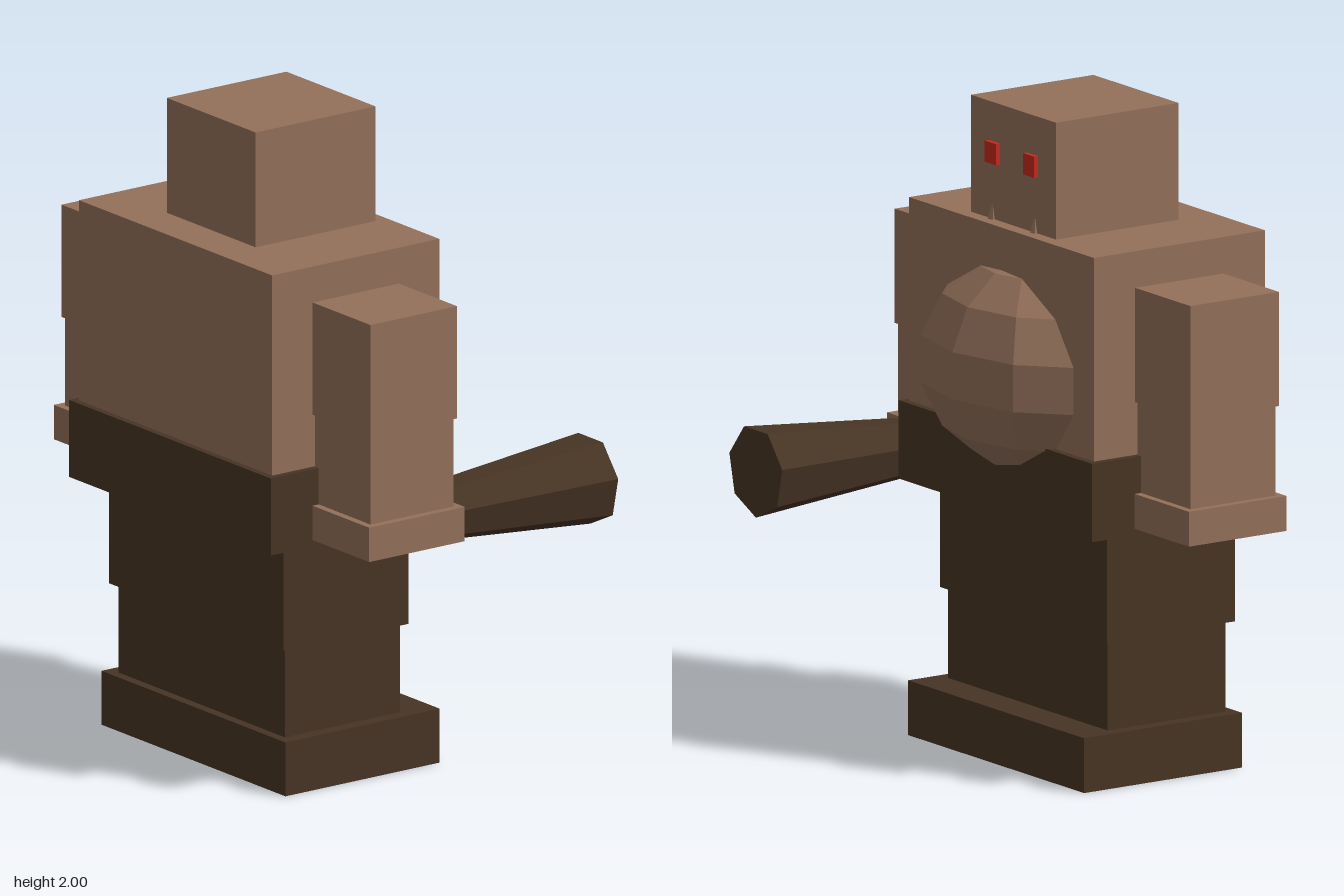
import * as THREE from 'three';

const mat = (name, color) => {
  const m = new THREE.MeshStandardMaterial({ color });
  m.name = name;
  return m;
};

export function createModel() {
  const root = new THREE.Group();
  root.name = 'ogre';
  const skin = mat('brown skin', 0x93705a);
  const dark = mat('dark leather', 0x473424);
  const red = mat('red eyes', 0xc5281e);
  // flat faces come from unshared normals
  const faceted = (geometry) => {
    const flat = geometry.toNonIndexed();
    flat.computeVertexNormals();
    return flat;
  };
  const add = (name, geometry, material, parent = root) => {
    const mesh = new THREE.Mesh(geometry, material);
    mesh.name = name;
    parent.add(mesh);
    return mesh;
  };
  // box from its limits along each axis
  const box = (name, material, [x0, x1], [y0, y1], [z0, z1], parent = root) => {
    const mesh = add(name, new THREE.BoxGeometry(x1 - x0, y1 - y0, z1 - z0), material, parent);
    mesh.position.set((x0 + x1) / 2, (y0 + y1) / 2, (z0 + z1) / 2);
    return mesh;
  };

  // lower body, stacked from the ground up
  box('feet', dark, [-0.47, 0.105], [0, 0.168], [-0.457, 0.457]);
  box('shins', dark, [-0.44, -0.01], [0.168, 0.445], [-0.414, 0.414]);
  box('thighs', dark, [-0.46, 0.005], [0.445, 0.778], [-0.434, 0.434]);
  box('belt', dark, [-0.558, 0.108], [0.778, 1.018], [-0.502, 0.502]);

  // torso and head
  box('torso', skin, [-0.537, 0.086], [1.018, 1.642], [-0.48, 0.48]);
  box('head', skin, [-0.404, 0.042], [1.642, 2], [-0.221, 0.221]);

  // belly bulging out of the torso
  const belly = add('belly', faceted(new THREE.SphereGeometry(1, 10, 7).scale(0.285, 0.325, 0.419)), skin);
  belly.position.set(-0.013, 1.212, 0);

  // paired parts
  for (const [label, s] of [['left', -1], ['right', 1]]) {
    const span = (a, b) => (s > 0 ? [a, b] : [-b, -a]);
    const arm = new THREE.Group();
    arm.name = label + 'Arm';
    root.add(arm);
    box('upperArm', skin, [-0.386, -0.064], [1.18, 1.53], span(0.479, 0.768), arm);
    box('forearm', skin, [-0.38, -0.07], [0.905, 1.18], span(0.485, 0.76), arm);
    box('hand', skin, [-0.403, -0.047], [0.798, 0.905], span(0.465, 0.784), arm);

    box(label + 'Eye', red, [0.04, 0.057], [1.815, 1.88], span(0.07, 0.128));
    const tusk = add(label + 'Tusk', faceted(new THREE.ConeGeometry(0.016, 0.055, 5)), skin);
    tusk.position.set(0.04, 1.669, s * 0.11);
  }

  // seven-sided club held in the hand, thick end forward
  const club = add('club', faceted(
    new THREE.CylinderGeometry(0.141, 0.066, 0.835, 7, 1, false, Math.PI / 2)), dark);
  club.rotation.z = -Math.PI / 2;
  club.position.set(0.138, 0.84, 0.606);
  return root;
}
